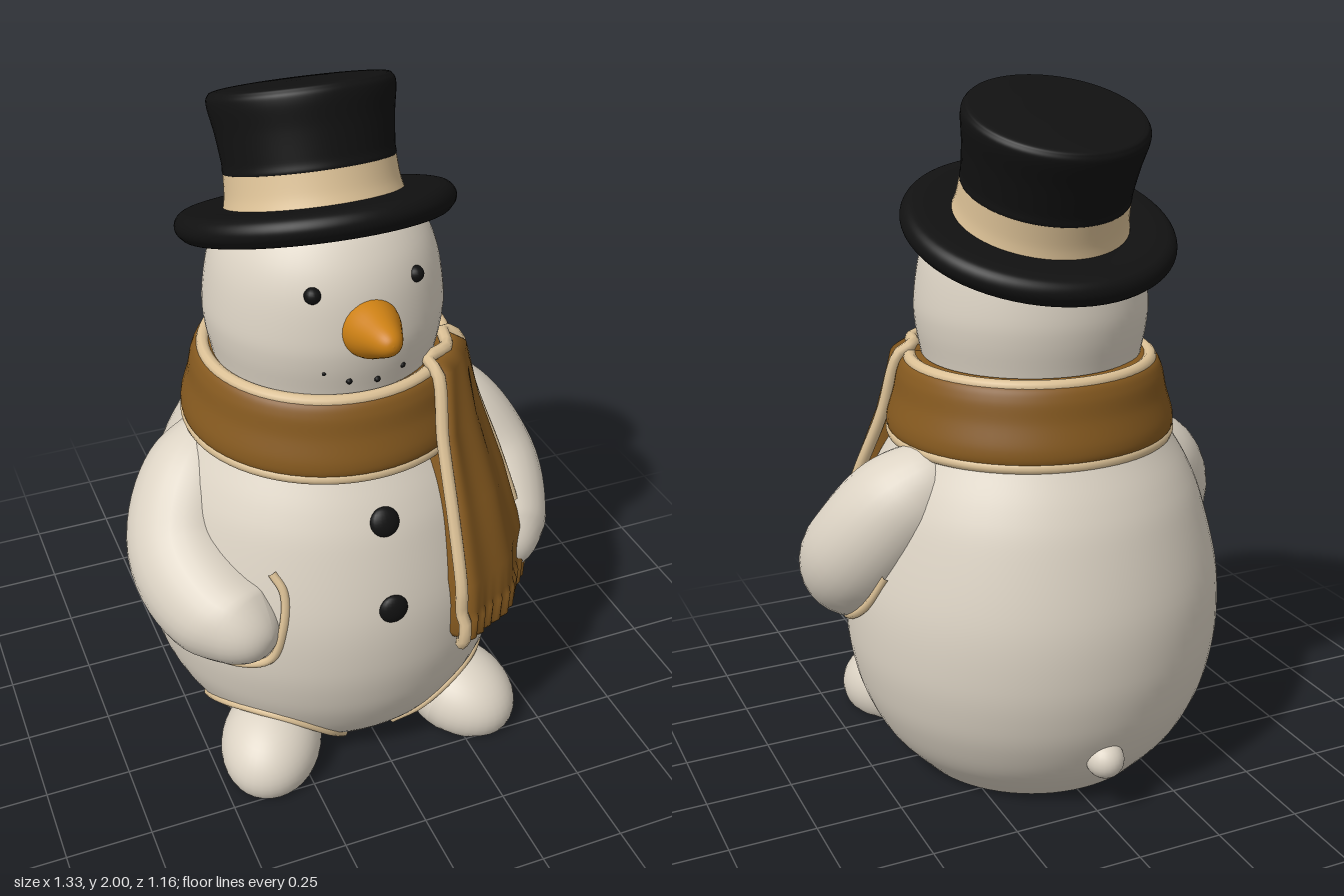
import * as THREE from 'three';

const mat = (name, color, side = THREE.FrontSide) => {
  const m = new THREE.MeshStandardMaterial({ color, side });
  m.name = name;
  return m;
};
const V3 = (p) => new THREE.Vector3(...p);
const deg = Math.PI / 180;

export function createModel() {
  const white = mat('snow white', 0xdcd3c4);
  const black = mat('hat black', 0x111111);
  const brown = mat('scarf brown', 0x85591f, THREE.DoubleSide);
  const cream = mat('trim cream', 0xdcc196);
  const orange = mat('carrot orange', 0xcc8014);

  const model = new THREE.Group();
  model.name = 'snowman';
  const add = (name, geometry, material, pos = [0, 0, 0], parent = model) => {
    const mesh = new THREE.Mesh(geometry, material);
    mesh.name = name;
    mesh.position.set(...pos);
    parent.add(mesh);
    return mesh;
  };
  // Smoothly turned shape from [radius, height] points, bottom to top
  const turned = (pts, steps = 40, sides = 64) => {
    const curve = new THREE.SplineCurve(pts.map((p) => new THREE.Vector2(...p)));
    const line = curve.getPoints(steps).map((p) => new THREE.Vector2(Math.max(p.x, 0), p.y));
    return new THREE.LatheGeometry(line, sides);
  };
  const cord = (name, pts, radius, closed = false) =>
    add(name, new THREE.TubeGeometry(new THREE.CatmullRomCurve3(pts, closed), 80, radius, 8, closed), cream);

  // Body with a flat base
  const CX = -0.02, CZ = -0.015;
  const profile = [[0.36, 0], [0.45, 0.1], [0.505, 0.2], [0.538, 0.3], [0.557, 0.43], [0.55, 0.6],
    [0.5, 0.8], [0.455, 0.91], [0.39, 1.02], [0.34, 1.12]];
  const side = new THREE.SplineCurve(profile.map((p) => new THREE.Vector2(...p))).getPoints(50);
  add('body', new THREE.LatheGeometry([new THREE.Vector2(0, 0), new THREE.Vector2(0.345, 0), ...side], 72),
    white, [CX, 0, CZ]);

  // Point on the body, at an angle measured from the front
  const onBody = (s, angle, y, lift = 0) => {
    let i = 1;
    while (i < side.length - 1 && side[i].y < y) i++;
    const a = side[i - 1], b = side[i];
    const r = a.x + (b.x - a.x) * (y - a.y) / (b.y - a.y) + lift;
    return V3([CX + s * r * Math.sin(angle * deg), y, CZ + r * Math.cos(angle * deg)]);
  };

  // Head, its crown trimmed to sit inside the tilted hat
  const headGeo = turned([[0.3, 1.1], [0.315, 1.22], [0.333, 1.32], [0.335, 1.4], [0.315, 1.52],
    [0.275, 1.61], [0.21, 1.68], [0.1, 1.72], [0, 1.73]]);
  const hp = headGeo.attributes.position;
  for (let i = 0; i < hp.count; i++) {
    hp.setY(i, Math.min(hp.getY(i), 1.595 + 0.325 * (hp.getZ(i) + 0.065)));
  }
  add('head', headGeo, white, [-0.03, 0, 0.015]);

  // Face
  const onHead = (x, y, r) => [x, y, 0.015 + Math.sqrt(r * r - (x + 0.03) ** 2)];
  for (const [name, x] of [['rightEye', -0.165], ['leftEye', 0.13]]) {
    add(name, new THREE.SphereGeometry(0.023, 16, 12), black, onHead(x, 1.53, 0.308));
  }
  for (const [x, y] of [[-0.145, 1.31], [-0.08, 1.28], [0, 1.27], [0.08, 1.287], [0.14, 1.33]]) {
    add('mouthDot', new THREE.SphereGeometry(0.009, 8, 6), black, onHead(x, y, 0.325));
  }
  const nose = add('nose', turned([[0.07, -0.03], [0.082, 0.02], [0.077, 0.06], [0.058, 0.11],
    [0.037, 0.16], [0.018, 0.182], [0, 0.187]], 24, 32), orange, [-0.02, 1.422, 0.3]);
  nose.rotation.x = Math.PI / 2 - 0.16;

  // Coat buttons
  for (const y of [0.88, 0.63]) {
    const b = add('button', new THREE.SphereGeometry(0.043, 20, 14), black, onBody(1, 0, y, -0.002).toArray());
    b.scale.z = 0.5;
    b.rotation.x = y > 0.8 ? -0.4 : -0.1;
  }

  // Rounded limb swept along a curve
  const limb = (name, pts, radius) => {
    const n = 40, sides = 28, curve = new THREE.CatmullRomCurve3(pts.map(V3));
    const geo = new THREE.TubeGeometry(curve, n, 1, sides);
    const p = geo.attributes.position, v = new THREE.Vector3();
    for (let i = 0; i <= n; i++) {
      const t = (1 - Math.cos(Math.PI * i / n)) / 2;
      const r = radius * Math.sqrt(Math.max(0, 1 - Math.abs(2 * t - 1) ** 3));
      const c0 = curve.getPointAt(i / n), c = curve.getPointAt(t);
      for (let j = 0; j <= sides; j++) {
        const k = i * (sides + 1) + j;
        v.fromBufferAttribute(p, k).sub(c0).multiplyScalar(r).add(c);
        p.setXYZ(k, v.x, v.y, v.z);
      }
    }
    geo.computeVertexNormals();
    add(name, geo, white);
  };
  limb('rightArm', [[-0.28, 0.97, -0.08], [-0.4, 0.86, -0.02], [-0.49, 0.68, 0.11], [-0.45, 0.58, 0.3],
    [-0.36, 0.58, 0.47]], 0.172);
  limb('leftArm', [[0.26, 0.98, -0.14], [0.39, 0.87, -0.08], [0.495, 0.68, 0.04], [0.47, 0.58, 0.2],
    [0.42, 0.57, 0.37]], 0.168);

  // Feet, and the seams around feet and arms
  for (const [label, s] of [['right', -1], ['left', 1]]) {
    const geo = new THREE.SphereGeometry(1, 36, 24);
    geo.scale(0.15, 0.135, 0.19);
    geo.rotateX(0.2);
    geo.rotateY(s * 0.5);
    geo.translate(CX + s * 0.31, 0.075, 0.35);
    const p = geo.attributes.position;
    for (let i = 0; i < p.count; i++) p.setY(i, Math.max(p.getY(i), 0.001));
    geo.computeVertexNormals();
    add(label + 'Foot', geo, white);
    cord(label + 'FootSeam', [[12, 0.03], [19, 0.11], [30, 0.185], [42, 0.21], [58, 0.18], [74, 0.1], [83, 0.02]]
      .map(([a, y]) => onBody(s, a, y)), 0.012);
    cord(label + 'ArmSeam', [[37, 0.75], [33, 0.7], [33, 0.58], [37, 0.47], [50, 0.425], [68, 0.44], [85, 0.49],
      [98, 0.57], [106, 0.68]].map(([a, y]) => onBody(s, a, y)), 0.013);
  }

  // Small tail bump on the back
  const tail = add('tail', new THREE.SphereGeometry(0.055, 24, 16), white, [CX, 0.165, -0.5]);
  tail.scale.z = 1.1;

  // Scarf loop with cream edges
  add('scarfLoop', turned([[0.3, 1.225], [0.33, 1.02], [0.38, 1.0], [0.412, 1.02], [0.415, 1.06], [0.395, 1.13],
    [0.382, 1.19], [0.36, 1.225], [0.31, 1.235]], 60), brown, [CX, 0, 0]);
  for (const [name, r, y] of [['scarfTopEdge', 0.345, 1.222], ['scarfBottomEdge', 0.4, 1.012]]) {
    const ring = add(name, new THREE.TorusGeometry(r, 0.019, 10, 72), cream, [CX, y, 0]);
    ring.rotation.x = Math.PI / 2;
  }

  // Hanging scarf end: rows of [height, start angle, end angle, radius]
  const rows = [[1.225, 38, 66, 0.3], [1.25, 36, 67, 0.365], [1.225, 34, 69, 0.405], [1.05, 28, 68, 0.45],
    [0.85, 23, 65, 0.53], [0.65, 20, 61, 0.6], [0.56, 20, 60.5, 0.607], [0.54, 20, 60, 0.616],
    [0.47, 20, 59, 0.615], [0.445, 21, 58, 0.595], [0.44, 21, 58, 0.53]];
  const scarfPoint = (u, row, lift = 0) => {
    const [y, a0, a1, r0] = rows[row];
    const fringe = y < 0.55 ? 0.006 * Math.cos(u * 70) : 0;
    const fold = row > 2 ? 0.008 * Math.cos(u * 13) : 0;
    const r = r0 + fringe + fold + lift - 0.1 * Math.abs(2 * u - 1) ** 12;
    const a = (a0 + (a1 - a0) * u) * deg;
    return V3([CX + r * Math.sin(a), y, r * Math.cos(a)]);
  };
  const cols = 56, endGeo = new THREE.PlaneGeometry(1, 1, cols, rows.length - 1);
  for (let j = 0; j < rows.length; j++) {
    for (let i = 0; i <= cols; i++) {
      endGeo.attributes.position.setXYZ(j * (cols + 1) + i, ...scarfPoint(i / cols, j).toArray());
    }
  }
  endGeo.computeVertexNormals();
  add('scarfEnd', endGeo, brown);
  const last = rows.length - 2, border = [];
  for (let j = 1; j <= last; j++) border.push(scarfPoint(0.01, j, 0.05));
  for (const u of [0.25, 0.5, 0.75]) border.push(scarfPoint(u, last, -0.03));
  for (let j = last; j >= 1; j--) border.push(scarfPoint(0.99, j, 0.05));
  border.push(scarfPoint(0.5, 1, -0.01));
  cord('scarfEndEdge', border, 0.019, true);

  // Top hat, tipped backwards
  const hat = new THREE.Group();
  hat.name = 'hat';
  hat.position.set(-0.025, 1.595, -0.05);
  hat.rotation.x = -0.33;
  model.add(hat);
  add('hatBrim', turned([[0, -0.03], [0.2, -0.035], [0.34, -0.04], [0.378, -0.022], [0.389, 0.005], [0.375, 0.032],
    [0.34, 0.042], [0.24, 0.04], [0, 0.04]], 60), black, [0, 0, 0], hat);
  add('hatBand', turned([[0.252, 0.03], [0.243, 0.07], [0.238, 0.13]], 10), cream, [0, 0, 0], hat);
  add('hatCrown', turned([[0.2, 0.126], [0.236, 0.128], [0.238, 0.16], [0.246, 0.24], [0.257, 0.31], [0.252, 0.338],
    [0.225, 0.35], [0.1, 0.355], [0, 0.355]], 60), black, [0, 0, 0], hat);

  return model;
}
